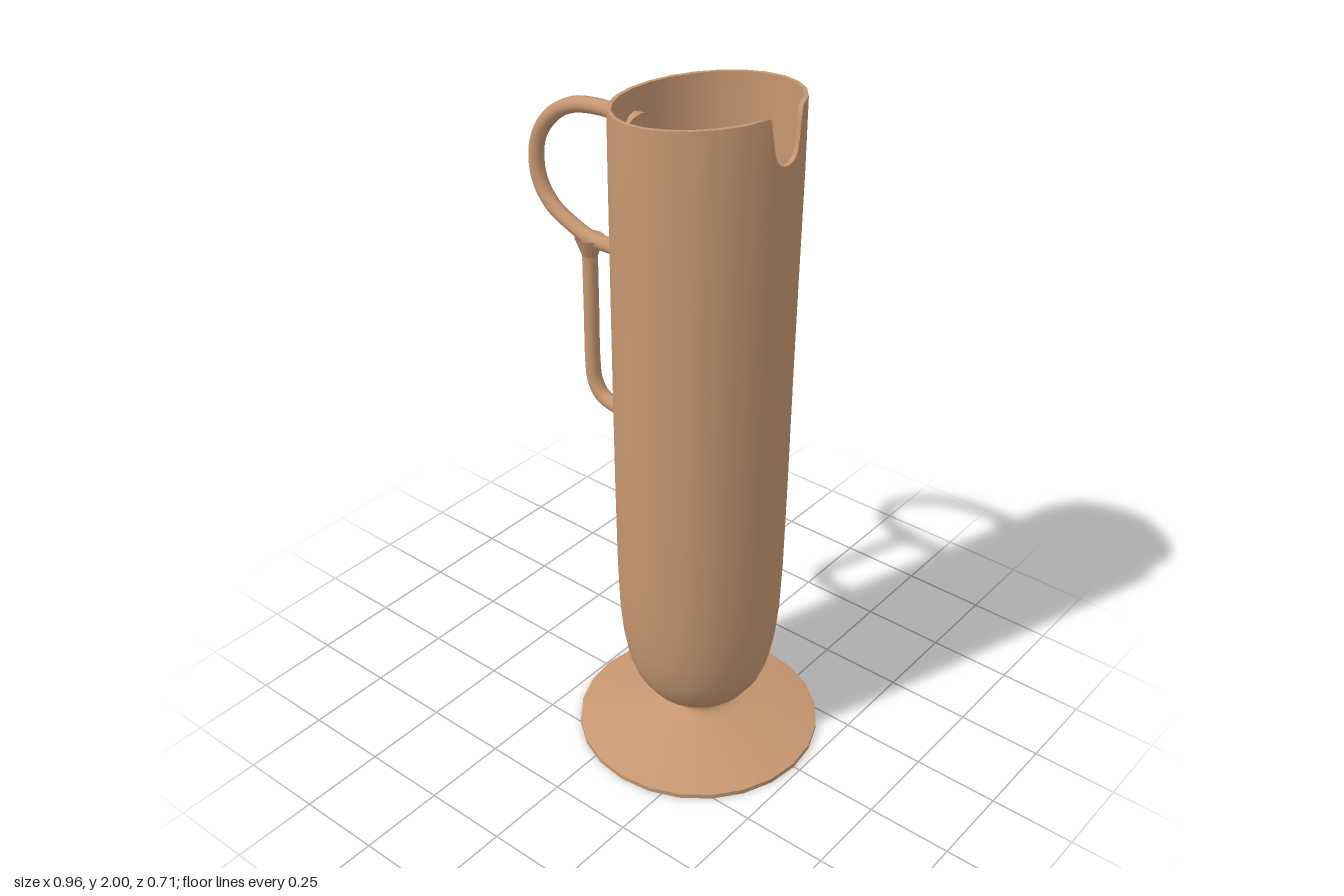
import * as THREE from 'three';

const CX = 0.122; // axis of the vessel
const clay = new THREE.MeshStandardMaterial({ color: 0xc69771, side: THREE.DoubleSide });
clay.name = 'clay';

// Spout notch: half width and height of its edge, from the centre outward
const NOTCH = [[0, 1.868], [0.016, 1.87], [0.03, 1.877], [0.041, 1.89], [0.049, 1.915], [0.056, 1.955]];

// Angles round the wall with the rim height at each one
function rimStations() {
  const out = [];
  for (const [z, y] of NOTCH) {
    const a = Math.asin(z / 0.245);
    out.push([a, y]);
    if (z > 0) out.push([-a, y]);
  }
  for (let i = 1; i < 24; i++) {
    const a = (i * Math.PI) / 12;
    out.push([a > Math.PI ? a - 2 * Math.PI : a, 1.973 + 0.0283 * Math.cos(a)]);
  }
  return out.sort((p, q) => p[0] - q[0]);
}

// Closed band of rows [radius, y]; y = null follows the rim
function band(rows, stations) {
  const n = stations.length, pos = [], idx = [];
  rows.forEach(([r, y], i) => {
    for (const [a, rim] of stations) {
      const h = y === null ? rim : y;
      const lip = 0.007 * Math.max(0, Math.cos(a)) * THREE.MathUtils.smoothstep(h, 1.2, 1.9);
      pos.push(CX + (r + (r > 0.1 ? lip : 0)) * Math.cos(a), h, -r * Math.sin(a));
    }
    if (i === 0) return;
    for (let j = 0; j < n; j++) {
      const k = (j + 1) % n, a = (i - 1) * n, b = i * n;
      idx.push(a + j, a + k, b + k, a + j, b + k, b + j);
    }
  });
  const g = new THREE.BufferGeometry();
  g.setAttribute('position', new THREE.Float32BufferAttribute(pos, 3));
  g.setIndex(idx);
  g.computeVertexNormals();
  return g;
}

function tube(points, radius, segments) {
  const curve = new THREE.CatmullRomCurve3(points.map(([x, y]) => new THREE.Vector3(x, y, 0)));
  return new THREE.TubeGeometry(curve, segments, radius, 10);
}

export function createModel() {
  const model = new THREE.Group();
  const add = (name, geometry) => {
    const mesh = new THREE.Mesh(geometry, clay);
    mesh.name = name;
    model.add(mesh);
    return mesh;
  };

  // Foot: underside, thin edge and sloping top with the neck
  const lathe = (name, pts) => {
    const m = add(name, new THREE.LatheGeometry(pts.map(([x, y]) => new THREE.Vector2(x, y)), 24));
    m.position.x = CX;
  };
  lathe('footUnderside', [[0, 0], [0.357, 0]]);
  lathe('footEdge', [[0.357, 0], [0.357, 0.014]]);
  lathe('footTop', [[0.357, 0.014], [0.28, 0.034], [0.2, 0.052], [0.13, 0.066], [0.1, 0.074],
    [0.084, 0.086], [0.08, 0.1], [0.088, 0.113]]);

  // Cup wall: outside, rim and inside
  const stations = rimStations();
  add('cupOutside', band([[0.08, 0.1], [0.09, 0.114], [0.115, 0.13], [0.15, 0.16], [0.185, 0.21],
    [0.208, 0.27], [0.222, 0.35], [0.231, 0.45], [0.236, 0.6], [0.239, 0.85], [0.241, 1.2],
    [0.242, 1.5], [0.243, 1.8], [0.243, null]], stations));
  add('cupRim', band([[0.243, null], [0.232, null]], stations));
  add('cupInside', band([[0.232, null], [0.232, 1.8], [0.231, 1.2], [0.228, 0.85], [0.225, 0.6],
    [0.218, 0.45], [0.208, 0.35], [0.193, 0.27], [0.168, 0.21], [0.13, 0.165], [0.07, 0.14],
    [0, 0.132]], stations));

  // Looped upper handle
  add('upperHandle', tube([[-0.11, 1.864], [-0.18, 1.867], [-0.25, 1.864], [-0.32, 1.849],
    [-0.39, 1.807], [-0.442, 1.74], [-0.458, 1.67], [-0.445, 1.595], [-0.4, 1.538], [-0.33, 1.502],
    [-0.27, 1.482], [-0.2, 1.48], [-0.11, 1.481]], 0.022, 56));

  // Lower handle hanging from the loop
  add('lowerHandle', tube([[-0.272, 1.485], [-0.272, 1.4], [-0.272, 1.25], [-0.272, 1.1],
    [-0.265, 1.04], [-0.24, 1.0], [-0.19, 0.983], [-0.11, 0.976]], 0.022, 40));

  // Flared joints where the handles meet the wall and each other
  const flare = (name, [x0, y0], [x1, y1], r0, r1) => {
    const from = new THREE.Vector3(x0, y0, 0), to = new THREE.Vector3(x1, y1, 0);
    const dir = to.clone().sub(from);
    const m = add(name, new THREE.CylinderGeometry(r1, r0, dir.length(), 12, 1, true));
    m.position.copy(from).add(to).multiplyScalar(0.5);
    m.quaternion.setFromUnitVectors(new THREE.Vector3(0, 1, 0), dir.normalize());
  };
  flare('topJoint', [-0.175, 1.865], [-0.105, 1.838], 0.022, 0.048);
  flare('middleJoint', [-0.15, 1.48], [-0.105, 1.48], 0.022, 0.028);
  flare('bottomJoint', [-0.15, 0.978], [-0.105, 0.977], 0.022, 0.026);
  flare('handleJoint', [-0.272, 1.43], [-0.272, 1.485], 0.022, 0.042);

  return model;
}
